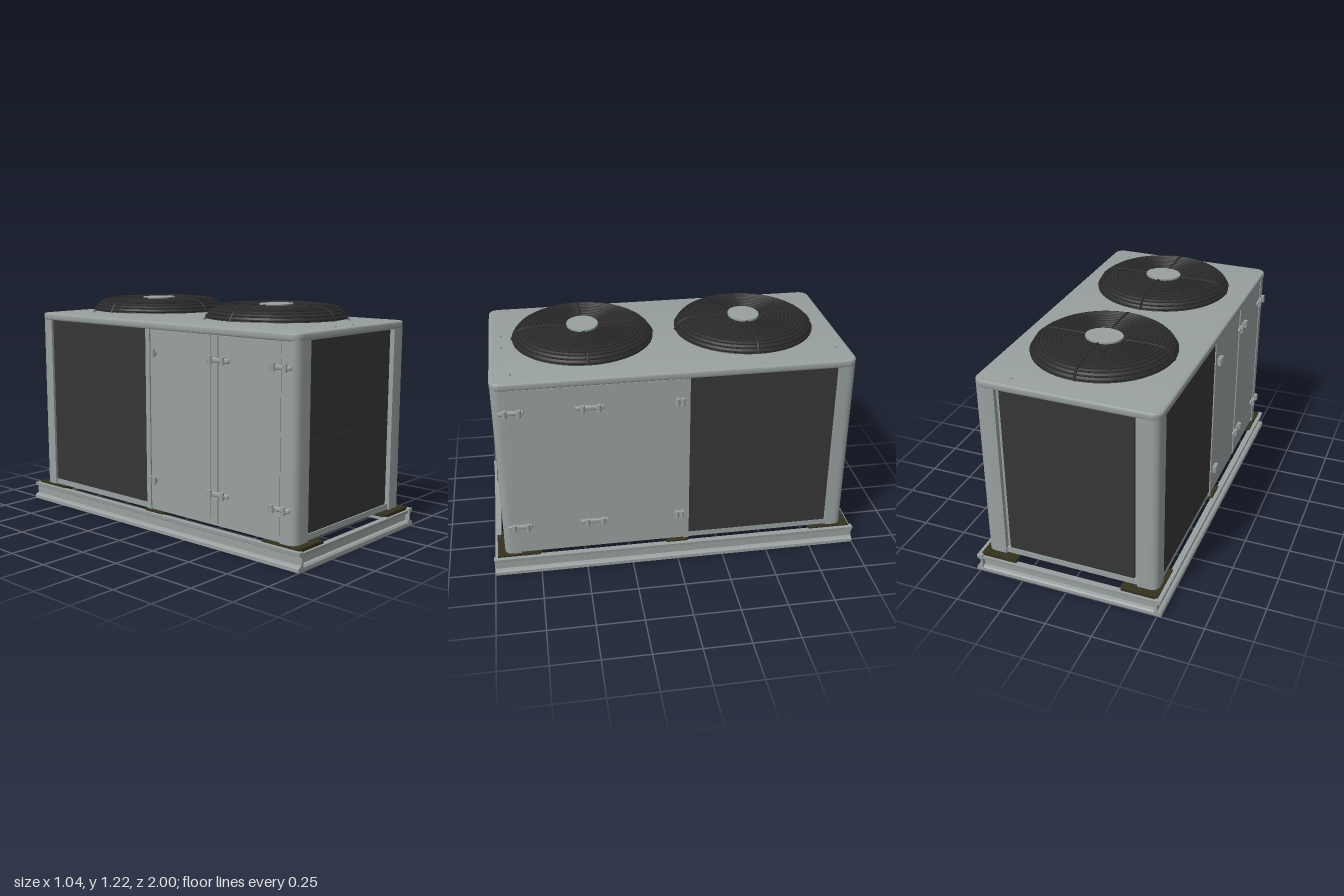
import * as THREE from 'three';
import { toCreasedNormals } from 'three/addons/utils/BufferGeometryUtils.js';
import { RoundedBoxGeometry } from 'three/addons/geometries/RoundedBoxGeometry.js';

const material = (name, color) => {
  const m = new THREE.MeshStandardMaterial({ color });
  m.name = name;
  return m;
};

export function createModel() {
  const grey = material('casing grey', 0x98a09f);
  const coil = material('coil charcoal', 0x363636);
  const wire = material('grille black', 0x2b2a2d);
  const olive = material('pad olive', 0x33311f);

  const model = new THREE.Group();
  model.name = 'rooftopCondenser';

  const add = (name, geometry, mat, x = 0, y = 0, z = 0, parent = model) => {
    const mesh = new THREE.Mesh(geometry, mat);
    mesh.name = name;
    mesh.position.set(x, y, z);
    parent.add(mesh);
    return mesh;
  };
  // Box given by its limits on each axis
  const box = (name, mat, [x0, x1], [y0, y1], [z0, z1], parent = model) =>
    add(name, new THREE.BoxGeometry(Math.abs(x1 - x0), y1 - y0, Math.abs(z1 - z0)), mat,
      (x0 + x1) / 2, (y0 + y1) / 2, (z0 + z1) / 2, parent);
  const smooth = (g) => toCreasedNormals(g, 0.6);

  // Base frame: channel rails, d runs from the inner edge outwards
  const channel = (length, height) => {
    const pts = [[0, 0], [0.037, 0], [0.037, 0.018], [0.03, 0.026], [0.014, 0.03],
      [0.014, height - 0.026], [0.03, height - 0.018], [0.032, height], [0, height]];
    const shape = new THREE.Shape(pts.map(([a, b]) => new THREE.Vector2(a, b)));
    return new THREE.ExtrudeGeometry(shape, { depth: length, bevelEnabled: false }).translate(0, 0, -length / 2);
  };
  for (const s of [1, -1]) {
    const side = add('sideRail', channel(2, 0.097), grey, s * 0.485, 0, 0);
    side.rotation.y = s > 0 ? 0 : Math.PI;
    const end = add('endRail', channel(1.0, 0.088), grey, 0, 0, s * 0.962);
    end.rotation.y = s > 0 ? -Math.PI / 2 : Math.PI / 2;
  }

  // Isolation pads between frame and cabinet
  for (const sx of [1, -1]) {
    for (const [z, d] of [[0.865, 0.23], [0, 0.12], [-0.865, 0.23]]) {
      const w = z ? 0.2 : 0.15;
      const cx = sx * (0.495 - w / 2);
      add('isolationPad', new THREE.BoxGeometry(w, 0.022, d), olive, cx, 0.094, z);
      add('padInset', new THREE.BoxGeometry(w * 0.6, 0.008, d * 0.6), olive, cx, 0.08, z);
    }
  }

  // Cabinet core and sills
  box('cabinetCore', grey, [-0.455, 0.455], [0.105, 1.1], [-0.912, 0.912]);
  for (const s of [1, -1]) {
    box('endSill', grey, [-0.4, 0.4], [0.107, 0.138], [s * 0.9, s * 0.93]);
    box('sideSill', grey, [s * 0.44, s * 0.472], [0.107, 0.138], [-0.88, 0.88]);
  }

  // Rounded corner posts
  for (const sx of [1, -1]) {
    for (const sz of [1, -1]) {
      const p = new THREE.Shape();
      p.moveTo(sx * 0.37, sz * 0.90);
      p.lineTo(sx * 0.37, sz * 0.94);
      p.lineTo(sx * 0.43, sz * 0.94);
      p.quadraticCurveTo(sx * 0.48, sz * 0.94, sx * 0.48, sz * 0.89);
      p.lineTo(sx * 0.48, sz * 0.85);
      p.lineTo(sx * 0.44, sz * 0.85);
      p.lineTo(sx * 0.44, sz * 0.90);
      const g = new THREE.ExtrudeGeometry(p, { depth: 1.0, bevelEnabled: false, curveSegments: 8 });
      add('cornerPost', smooth(g.rotateX(-Math.PI / 2)), grey, 0, 0.1, 0);
    }
  }

  // Top cover with rounded corners and edge
  const b = 0.01, hx = 0.485 - b, hz = 0.942 - b, r = 0.045;
  const lid = new THREE.Shape();
  lid.moveTo(-hx + r, -hz);
  lid.lineTo(hx - r, -hz);
  lid.absarc(hx - r, -hz + r, r, -Math.PI / 2, 0);
  lid.absarc(hx - r, hz - r, r, 0, Math.PI / 2);
  lid.absarc(-hx + r, hz - r, r, Math.PI / 2, Math.PI);
  lid.absarc(-hx + r, -hz + r, r, Math.PI, Math.PI * 1.5);
  const lidGeo = new THREE.ExtrudeGeometry(lid, {
    depth: 0.02, bevelSize: b, bevelThickness: b, bevelSegments: 3, curveSegments: 8,
  });
  add('topCover', smooth(lidGeo.rotateX(-Math.PI / 2)), grey, 0, 1.1, 0);

  // End coils, each of two panels meeting at a seam
  for (const s of [1, -1]) {
    for (const [y0, y1] of [[0.14, 0.603], [0.607, 1.088]]) {
      box('endCoil', coil, [-0.35, 0.35], [y0, y1], [s * 0.905, s * 0.926]);
    }
    box('coilSeam', coil, [-0.35, 0.35], [0.6, 0.61], [s * 0.905, s * 0.922]);
  }

  // Door latch: plate, knuckle and lever
  const latch = (s, y, z, length) => {
    const g = new THREE.Group();
    g.name = 'doorLatch';
    g.position.set(s * 0.478, y, z);
    model.add(g);
    add('latchPlate', new RoundedBoxGeometry(0.022, 0.024, length, 2, 0.008), grey, 0, 0, 0, g);
    for (const k of [-0.3, 0.25]) {
      const knuckle = new THREE.CylinderGeometry(0.012, 0.012, 0.04, 10);
      add('latchKnuckle', knuckle, grey, s * 0.013, 0, k * length, g);
    }
  };

  // Long sides: coil to the rear, doors to the front
  for (const s of [1, -1]) {
    box('sideCoil', coil, [s * 0.44, s * 0.474], [0.14, 1.09], [-0.84, -0.065]);
    box('coilPost', grey, [s * 0.44, s * 0.48], [0.107, 1.1], [-0.065, -0.035]);
    box('doorBacking', grey, [s * 0.44, s * 0.472], [0.107, 1.1], [-0.04, 0.86]);
    box('rearDoor', grey, [s * 0.45, s * 0.477], [0.14, 1.088], [-0.028, 0.398]);
    box('doorMullion', grey, [s * 0.45, s * 0.48], [0.12, 1.088], [0.408, 0.448]);
    box('frontDoor', grey, [s * 0.45, s * 0.477], [0.14, 1.088], [0.458, 0.845]);
    for (const y of [0.275, 0.965]) {
      latch(s, y, 0.845, 0.13);
      latch(s, y, 0.45, 0.15);
      latch(s, y, -0.01, 0.05);
    }
  }

  // Fans: rim, domed guard, wire rings, cross ribs and hub plate
  const domePts = [[0.376, 1.15], [0.368, 1.168], [0.352, 1.188], [0.325, 1.205], [0.285, 1.213], [0.08, 1.213]];
  const profile = domePts.map(([a, y]) => new THREE.Vector2(a, y));
  const guardCurve = new THREE.CatmullRomCurve3(domePts.map(([a, y]) => new THREE.Vector3(a, y, 0)));
  const rimPts = [[0.392, 1.125], [0.388, 1.138], [0.38, 1.154], [0.37, 1.158], [0.36, 1.15]]
    .map(([a, y]) => new THREE.Vector2(a, y));
  wire.side = THREE.DoubleSide;
  for (const z of [-0.44, 0.44]) {
    const fan = new THREE.Group();
    fan.name = 'fan';
    fan.position.z = z;
    model.add(fan);
    const rim = add('fanRim', new THREE.LatheGeometry(rimPts.reverse(), 48), grey, 0, 0, 0, fan);
    rimPts.reverse();
    rim.material = grey;
    add('fanGuard', new THREE.LatheGeometry(profile, 48), wire, 0, 0, 0, fan);
    for (let i = 0; i < 14; i++) {
      const p = guardCurve.getPointAt(0.03 + i * 0.066);
      const ring = new THREE.TorusGeometry(p.x, 0.005, 5, 48).rotateX(Math.PI / 2);
      add('guardRing', ring, wire, 0, p.y, 0, fan);
    }
    for (let i = 0; i < 4; i++) {
      const rib = add('guardRib', new THREE.TubeGeometry(guardCurve, 20, 0.008, 6), wire, 0, 0, 0, fan);
      rib.rotation.y = i * Math.PI / 2;
    }
    const hub = new THREE.CylinderGeometry(0.1, 0.1, 0.014, 16).scale(1, 1, 0.85);
    add('fanHub', hub, grey, 0, 1.216, 0, fan);
  }

  // Cover screws
  for (const [x, z] of [[0.31, -0.87], [-0.1, 0.88], [0.05, 0.88], [0.38, 0.84]]) {
    add('coverScrew', new THREE.CylinderGeometry(0.01, 0.012, 0.008, 10), grey, x, 1.133, z);
  }
  return model;
}
